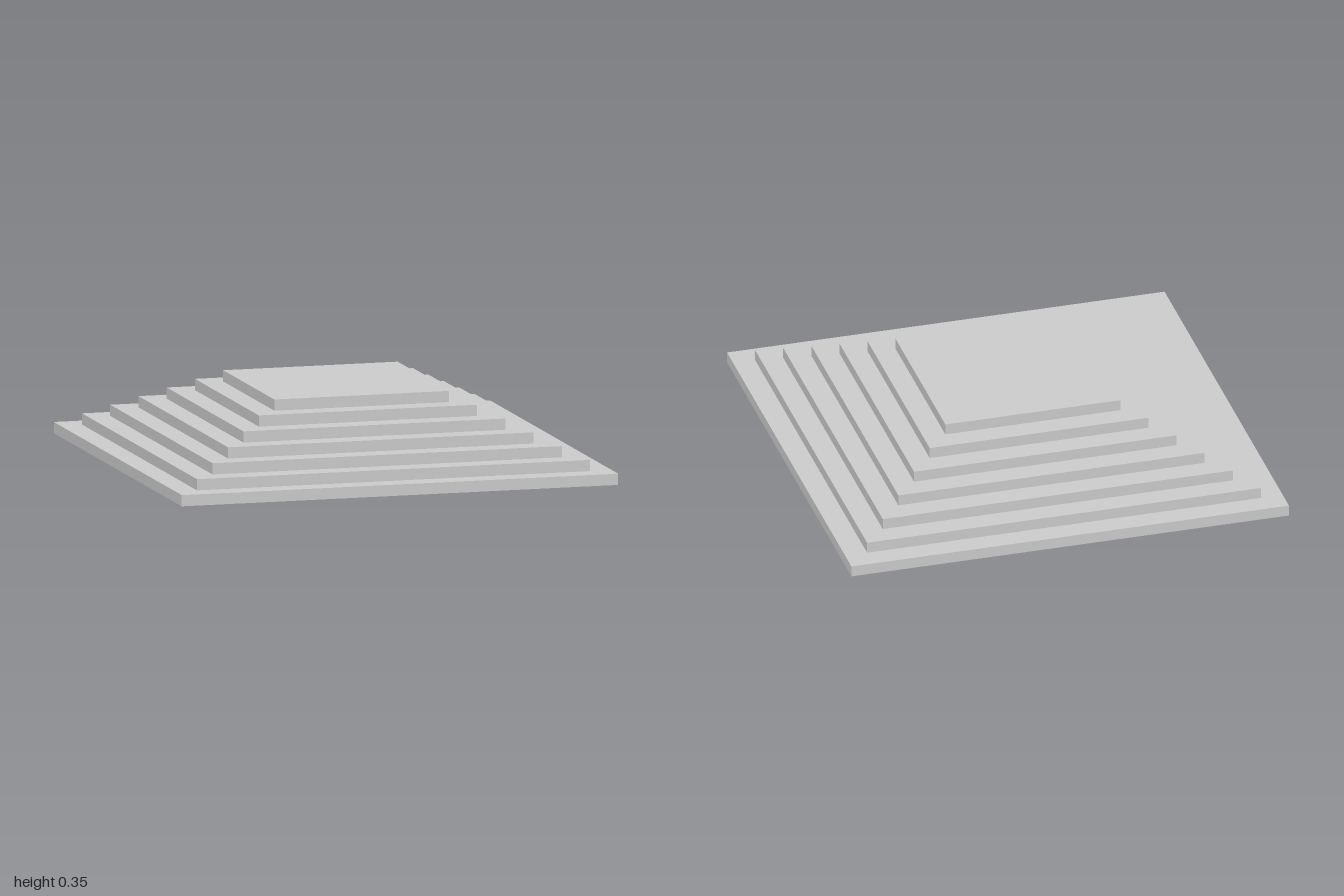
import * as THREE from 'three';

const STEPS = 7;
const RISE = 0.05;  // height of each step
const TREAD = 0.1;  // inset of each step on every side

export function createModel() {
  const group = new THREE.Group();
  group.name = 'steppedPlatform';
  const material = new THREE.MeshStandardMaterial({ color: 0xcccccc });

  // Square slabs stacked from the widest to the narrowest
  for (let i = 0; i < STEPS; i++) {
    const width = 2 - 2 * TREAD * i;
    const slab = new THREE.Mesh(new THREE.BoxGeometry(width, RISE, width), material);
    slab.name = i === STEPS - 1 ? 'topPlatform' : `step${i + 1}`;
    slab.position.y = RISE * (i + 0.5);
    group.add(slab);
  }
  return group;
}
